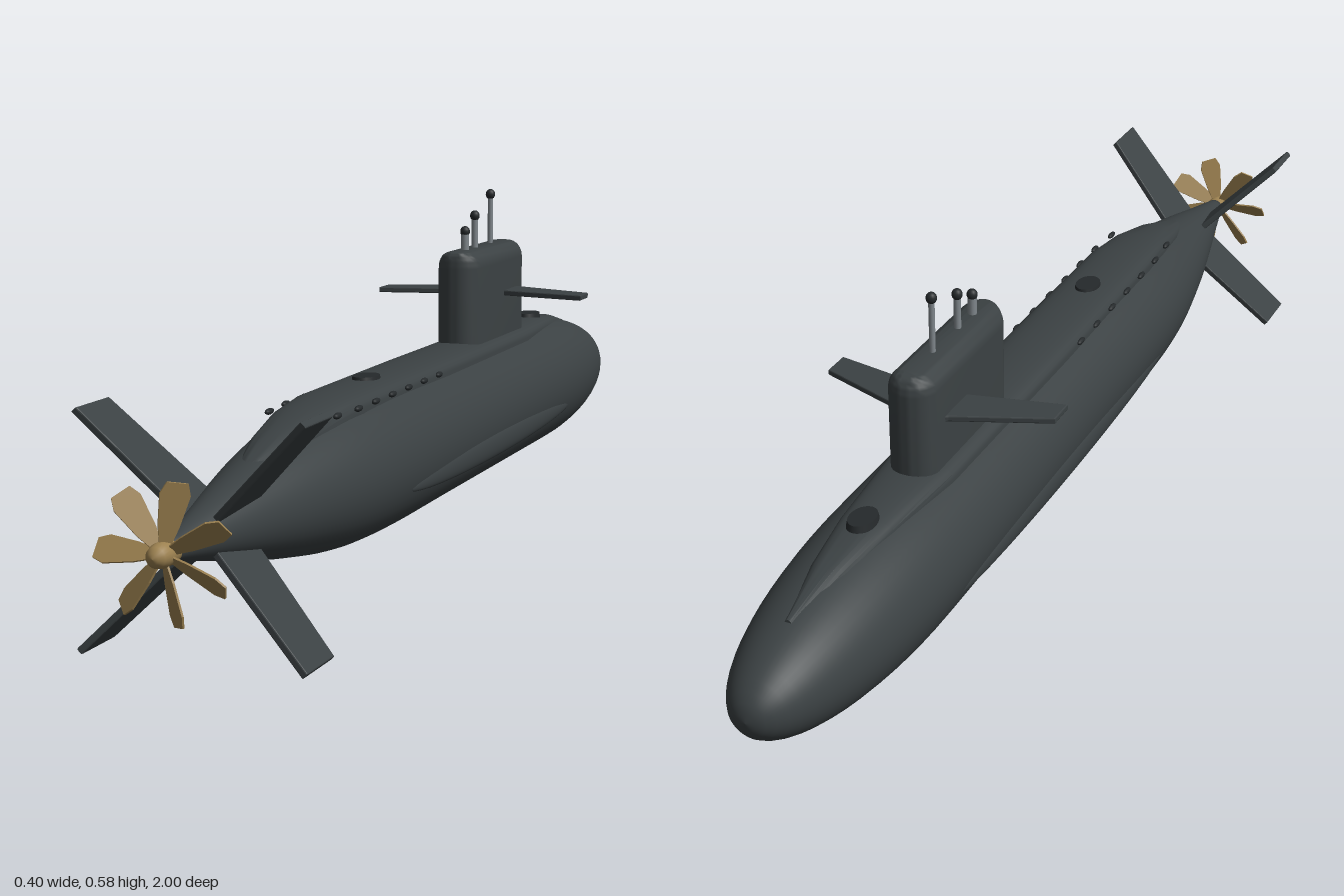
import * as THREE from 'three';
import { toCreasedNormals } from 'three/addons/utils/BufferGeometryUtils.js';

const AXIS = 0.18; // height of the hull centreline
const mat = (color) => new THREE.MeshStandardMaterial({ color });

// Skin a list of equal-length closed rings and cap both ends
function loft(rings, crease = 0.7) {
  const n = rings[0].length, pos = rings.flat(2), idx = [];
  for (let r = 0; r < rings.length - 1; r++) {
    for (let i = 0; i < n; i++) {
      const a = r * n + i, b = r * n + (i + 1) % n;
      idx.push(a, b, a + n, b, b + n, a + n);
    }
  }
  const last = (rings.length - 1) * n;
  for (let i = 1; i < n - 1; i++) {
    idx.push(0, i + 1, i, last, last + i, last + i + 1);
  }
  const g = new THREE.BufferGeometry();
  g.setAttribute('position', new THREE.Float32BufferAttribute(pos, 3));
  g.setIndex(idx);
  return toCreasedNormals(g, crease);
}

// Flat plate from an outline of [x, z] points, centred on y = 0
function plate(points, thickness) {
  const bevel = 0.002;
  const g = new THREE.ExtrudeGeometry(
    new THREE.Shape(points.map(([x, z]) => new THREE.Vector2(x, z))),
    { depth: thickness - 2 * bevel, bevelThickness: bevel, bevelSize: bevel, bevelOffset: -bevel, bevelSegments: 2 });
  g.translate(0, 0, -thickness / 2 + bevel);
  return g.rotateX(Math.PI / 2);
}

export function createModel() {
  const model = new THREE.Group();
  const dark = mat(0x3b4143), black = mat(0x25292b), steel = mat(0x80878c), brass = mat(0x9c8150);
  const add = (name, geometry, material, parent = model) => {
    const mesh = new THREE.Mesh(geometry, material);
    mesh.name = name;
    parent.add(mesh);
    return mesh;
  };

  // Hull: teardrop body turned around the z axis, bow at -z
  const bow = [];
  for (let i = 0; i <= 16; i++) {
    const a = (i / 16) * Math.PI / 2;
    bow.push(new THREE.Vector2(0.12 * Math.pow(Math.sin(a), 0.88), -0.55 - 0.45 * Math.cos(a)));
  }
  const stern = new THREE.SplineCurve([[0.12, -0.5], [0.12, 0], [0.12, 0.28], [0.112, 0.46], [0.088, 0.62],
    [0.06, 0.755], [0.038, 0.85], [0.016, 0.95]].map(([r, z]) => new THREE.Vector2(r, z))).getPoints(36);
  const hull = add('hull', new THREE.LatheGeometry([...bow, ...stern, new THREE.Vector2(0, 0.955)], 48), dark);
  hull.rotation.x = Math.PI / 2;
  hull.position.y = AXIS;

  // Deck casing: [z, half width, top height]
  const stations = [[-0.87, 0.008, 0.272], [-0.75, 0.03, 0.297], [-0.63, 0.045, 0.307], [-0.45, 0.06, 0.31],
    [0, 0.062, 0.31], [0.4, 0.06, 0.309], [0.5, 0.053, 0.301], [0.6, 0.041, 0.282], [0.68, 0.025, 0.259], [0.74, 0.008, 0.236]];
  add('deckCasing', loft(stations.map(([z, w, top]) => {
    const ring = [[w, top - 0.06, z]];
    for (let i = 0; i <= 12; i++) {
      const a = (i / 12) * Math.PI;
      ring.push([w * Math.cos(a), top - 0.02 + 0.02 * Math.pow(Math.max(0, Math.sin(a)), 0.75), z]);
    }
    ring.push([-w, top - 0.06, z]);
    return ring;
  })), dark);

  // Sail: round-ended plan, shoulders rolled over to the roof
  const sailRing = (y, w, front, back) => {
    const ring = [], mid = (front + back) / 2, half = (back - front) / 2;
    for (let i = 0; i < 32; i++) {
      const t = ((i + 0.5) / 32) * Math.PI * 2, s = Math.sin(t);
      ring.push([w * Math.cos(t), y, mid - s * w - Math.sign(s) * (half - w)]);
    }
    return ring;
  };
  const sailRings = [sailRing(0.27, 0.041, -0.5, -0.187)];
  for (let i = 0; i <= 8; i++) {
    const a = (i / 8) * Math.PI / 2, inset = 1 - Math.cos(a);
    sailRings.push(sailRing(0.446 + 0.03 * Math.sin(a), 0.041 - 0.028 * inset, -0.5 + 0.02 * inset, -0.187 - 0.008 * inset));
  }
  add('sail', loft(sailRings), dark);

  // Sail planes
  for (const side of [1, -1]) {
    const outline = [[0.03, -0.445], [0.045, -0.435], [0.2, -0.375], [0.2, -0.325], [0.03, -0.36]];
    const plane = add(side > 0 ? 'leftSailPlane' : 'rightSailPlane',
      plate(outline.map(([x, z]) => [x, z]), 0.01), dark);
    plane.position.y = 0.386;
    if (side < 0) plane.rotation.z = Math.PI;
  }

  // Masts with rounded heads: [z, head height, radius]
  for (const [z, y, r] of [[-0.25, 0.51, 0.0075], [-0.305, 0.535, 0.006], [-0.395, 0.569, 0.005]]) {
    const mast = new THREE.Group();
    mast.name = 'mast';
    mast.position.z = z;
    model.add(mast);
    add('mastPole', new THREE.CylinderGeometry(r, r, y - 0.46, 12).translate(0, (y + 0.46) / 2, 0), steel, mast);
    add('mastHead', new THREE.SphereGeometry(0.009, 16, 12).scale(1, 1.1, 1).translate(0, y, 0), black, mast);
  }

  // Deck hatches
  for (const z of [-0.64, 0.24]) {
    const hatch = add('hatch', new THREE.CylinderGeometry(0.021, 0.024, 0.016, 24), black);
    hatch.scale.z = 1.45;
    hatch.position.set(0, 0.306, z);
  }

  // Flank arrays and casing vents on both sides
  for (const side of [1, -1]) {
    const flank = add('flankArray', new THREE.SphereGeometry(1, 32, 20), dark);
    flank.scale.set(0.01, 0.024, 0.445);
    flank.position.set(side * 0.113, 0.149, -0.11);
    for (let i = 0; i < 7; i++) {
      const vent = add('vent', new THREE.SphereGeometry(1, 12, 8), black);
      vent.scale.set(0.005, 0.005, 0.014);
      const z = 0.06 + i * 0.073;
      vent.position.set(side * (z > 0.45 ? 0.057 : 0.062), 0.292, z);
    }
  }

  // X-shaped tail fins
  for (let k = 0; k < 4; k++) {
    const fin = add('tailFin', plate([[0.015, 0.742], [0.245, 0.8], [0.245, 0.895], [0.015, 0.857]], 0.011), dark);
    fin.rotation.z = Math.PI / 4 + k * Math.PI / 2;
    fin.position.y = AXIS - 0.001;
  }

  // Propeller: hub and seven pitched blades
  const propeller = new THREE.Group();
  propeller.name = 'propeller';
  propeller.position.set(0, AXIS - 0.002, 0.968);
  model.add(propeller);
  const hubProfile = [[0.016, -0.03], [0.018, -0.01], [0.018, 0.01], [0.015, 0.022], [0.008, 0.03], [0, 0.032]];
  const hub = add('hub', new THREE.LatheGeometry(hubProfile.map(([r, z]) => new THREE.Vector2(r, z)), 24), brass, propeller);
  hub.rotation.x = Math.PI / 2;
  const bladeOutline = [[0.01, -0.007], [0.04, -0.015], [0.085, -0.022], [0.102, -0.016], [0.102, 0.014], [0.085, 0.021], [0.04, 0.015], [0.01, 0.007]];
  for (let k = 0; k < 7; k++) {
    const arm = new THREE.Group();
    arm.name = 'propellerBlade';
    arm.rotation.z = Math.PI + (k * Math.PI * 2) / 7;
    propeller.add(arm);
    const shape = new THREE.Shape(bladeOutline.map(([x, y]) => new THREE.Vector2(x, y)));
    const blade = add('blade', new THREE.ExtrudeGeometry(shape, { depth: 0.003, bevelEnabled: false }).translate(0, 0, -0.0015), brass, arm);
    blade.rotation.x = 0.7;
  }
  return model;
}
